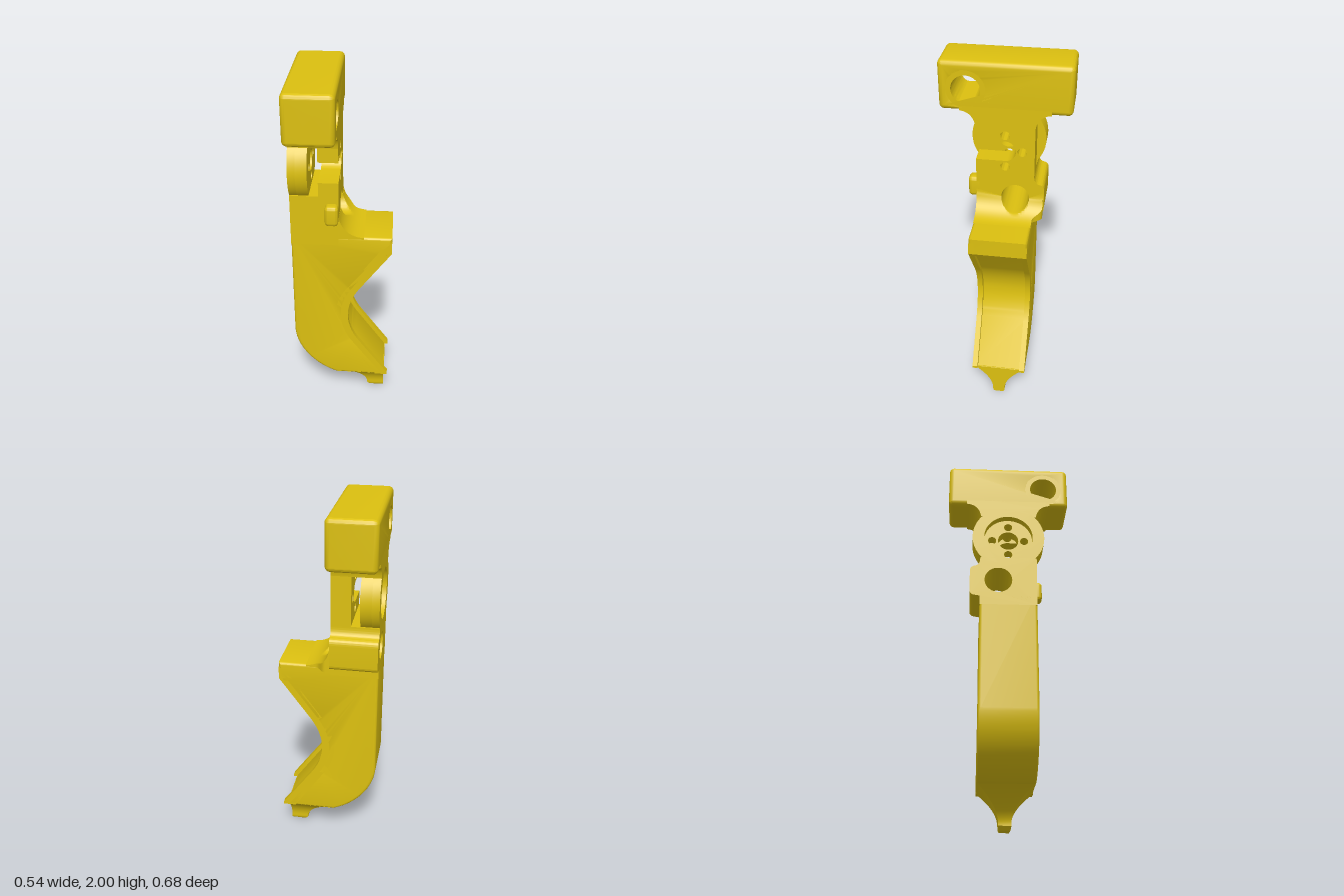
import * as THREE from 'three';
import { toCreasedNormals } from 'three/addons/utils/BufferGeometryUtils.js';
import { RoundedBoxGeometry } from 'three/addons/geometries/RoundedBoxGeometry.js';

const BACK = -0.27, FRONT = -0.015, HALF = 0.155;

export function createModel() {
  const group = new THREE.Group();
  const yellow = new THREE.MeshStandardMaterial({ color: 0xdcc010 });

  const add = (name, geo) => {
    const mesh = new THREE.Mesh(toCreasedNormals(geo, 0.6), yellow);
    mesh.name = name;
    group.add(mesh);
    return mesh;
  };
  const hole = (shape, u, y, r) => {
    shape.holes.push(new THREE.Path().absarc(u, y, r, 0, Math.PI * 2, true));
    return shape;
  };
  const poly = (pts) => new THREE.Shape(pts.map(([u, y]) => new THREE.Vector2(u, y)));
  // Extrude a shape drawn in (-z, y) along x, with an optional rounded edge
  const alongX = (name, shape, x0, x1, bevel = 0) => {
    const geo = new THREE.ExtrudeGeometry(shape, {
      depth: x1 - x0 - 2 * bevel, curveSegments: 28, bevelEnabled: bevel > 0,
      bevelSize: bevel, bevelThickness: bevel, bevelOffset: -bevel, bevelSegments: 4,
    });
    return add(name, geo.rotateY(Math.PI / 2).translate(x0 + bevel, 0, 0));
  };

  // Rounded head block, with a sharp sleeve lining its hole
  const r = 0.025, w = 0.34, lo = 1.74, hi = 2;
  const head = new THREE.Shape();
  head.absarc(w - r, hi - r, r, 0, Math.PI / 2);
  head.absarc(-w + r, hi - r, r, Math.PI / 2, Math.PI);
  head.absarc(-w + r, lo + r, r, Math.PI, Math.PI * 1.5);
  head.absarc(w - r, lo + r, r, Math.PI * 1.5, Math.PI * 2);
  alongX('headBlock', hole(head, -0.2, 1.855, 0.075), BACK, FRONT, 0.026);
  const sleeve = new THREE.Shape().absarc(-0.2, 1.855, 0.104, 0, Math.PI * 2);
  alongX('headHoleSleeve', hole(sleeve, -0.2, 1.855, 0.075), BACK, FRONT);

  // Upper neck flaring into the head
  const upper = new THREE.Shape();
  upper.moveTo(-HALF, 1.66);
  upper.lineTo(HALF, 1.66);
  upper.quadraticCurveTo(HALF + 0.01, 1.735, 0.235, 1.742);
  upper.lineTo(0.235, 1.79);
  upper.lineTo(-0.235, 1.79);
  upper.lineTo(-0.235, 1.742);
  upper.quadraticCurveTo(-HALF - 0.01, 1.735, -HALF, 1.66);
  alongX('upperNeck', upper, BACK, FRONT);

  // Front plate with a side channel running into the centre bore
  const cy = 1.525, cr = 0.057;
  const plate = new THREE.Shape();
  plate.moveTo(-HALF, 1.39);
  plate.lineTo(HALF, 1.39);
  plate.lineTo(HALF, 1.66);
  plate.lineTo(-HALF, 1.66);
  plate.lineTo(-HALF, cy + cr);
  plate.lineTo(0, cy + cr);
  plate.absarc(0, cy, cr, Math.PI / 2, -Math.PI / 2, true);
  plate.lineTo(-HALF, cy - cr);
  hole(plate, 0, cy + 0.09, 0.025);
  hole(plate, 0, cy - 0.09, 0.025);
  hole(plate, 0.09, cy, 0.025);
  alongX('frontPlate', plate, -0.12, FRONT);

  // Drilled disc behind the slot, with a round recess in its back
  const disc = new THREE.Shape().absarc(0, cy, 0.2, 0, Math.PI * 2);
  hole(disc, 0, cy, cr);
  for (const [u, v] of [[0.09, 0], [-0.09, 0], [0, 0.09], [0, -0.09]]) hole(disc, u, cy + v, 0.023);
  alongX('discFloor', disc, -0.23, -0.17);
  const rim = new THREE.Shape().absarc(0, cy, 0.2, 0, Math.PI * 2);
  alongX('discRim', hole(rim, 0, cy, 0.135), BACK, -0.23);

  // Lower neck with its side lug and hole
  const lower = new THREE.Shape();
  lower.moveTo(-HALF, 1.1);
  lower.lineTo(HALF, 1.1);
  lower.lineTo(HALF, 1.15);
  lower.lineTo(0.185, 1.155);
  lower.quadraticCurveTo(0.21, 1.16, 0.21, 1.185);
  lower.lineTo(0.21, 1.3);
  lower.quadraticCurveTo(0.21, 1.33, 0.185, 1.335);
  lower.quadraticCurveTo(HALF, 1.34, HALF, 1.385);
  lower.lineTo(HALF, 1.39);
  lower.lineTo(-HALF, 1.39);
  alongX('lowerNeck', hole(lower, 0.055, 1.25, 0.075), BACK, FRONT);

  // Small hook on the opposite side
  const hook = add('sideHook', new RoundedBoxGeometry(0.07, 0.115, 0.08, 4, 0.02));
  hook.position.set(-0.05, 1.2925, 0.16);

  // Concave shoulder between neck and grip, cut by the lower hole
  const R = 0.135, NX = 16, zs = [];
  for (let i = 0; i <= 24; i++) zs.push(-0.055 - 0.075 * Math.cos((i / 24) * Math.PI));
  const rows = [null, null, ...zs, HALF, HALF];
  const shoulder = new THREE.PlaneGeometry(1, 1, NX, rows.length - 1).rotateX(-Math.PI / 2);
  const sp = shoulder.attributes.position;
  for (let j = 0; j < rows.length; j++) for (let i = 0; i <= NX; i++) {
    const a = (i / NX) * Math.PI / 2;
    const x = FRONT + R * (1 - Math.cos(a));
    let y = 1.15 + R * (1 - Math.sin(a));
    const z = rows[j] ?? -HALF - 0.05 * (1 - THREE.MathUtils.smoothstep(x, 0.01, 0.065));
    const d = z + 0.055;
    if (Math.abs(d) <= 0.0751) y = Math.min(y, 1.25 - Math.sqrt(Math.max(0, 0.075 ** 2 - d * d)));
    if (j === 0 || j === rows.length - 1) y = 1.14;
    sp.setXYZ(j * (NX + 1) + i, x, y, z);
  }
  add('shoulder', shoulder);

  // Grip core, whose finger face sits a little below the rims
  const core = new THREE.Shape();
  core.moveTo(BACK, 1.15);
  core.lineTo(BACK, 0.52);
  core.bezierCurveTo(BACK, 0.38, -0.16, 0.245, -0.03, 0.2);
  core.lineTo(0.252, 0.2);
  core.lineTo(0.075, 0.45);
  core.bezierCurveTo(-0.011, 0.57, -0.011, 0.7, 0.075, 0.82);
  core.lineTo(0.228, 1.03);
  core.lineTo(0.252, 1.03);
  core.lineTo(0.27, 1.055);
  core.lineTo(0.27, 1.15);
  const b = 0.015;
  add('gripCore', new THREE.ExtrudeGeometry(core, {
    depth: 2 * (HALF - b), curveSegments: 28, bevelSize: b, bevelThickness: b,
    bevelOffset: -b, bevelSegments: 4,
  }).translate(0, 0, -HALF + b));

  // Raised rims on both sides of the finger face
  const edge = new THREE.Shape();
  edge.moveTo(0.2, 0.2);
  edge.lineTo(0.27, 0.2);
  edge.lineTo(0.27, 0.215);
  edge.lineTo(0.1, 0.45);
  edge.bezierCurveTo(0.014, 0.57, 0.014, 0.7, 0.1, 0.82);
  edge.lineTo(0.27, 1.055);
  edge.lineTo(0.27, 1.125);
  edge.lineTo(0.2, 1.06);
  edge.lineTo(0.03, 0.82);
  edge.bezierCurveTo(-0.056, 0.7, -0.056, 0.57, 0.03, 0.45);
  for (const z of [-HALF, HALF - 0.03]) {
    add('gripRim', new THREE.ExtrudeGeometry(edge, { depth: 0.03, curveSegments: 28, bevelEnabled: false })
      .translate(0, 0, z));
  }

  // Flared tail under the grip
  const tail = new THREE.BoxGeometry(1, 1, 1, 1, 20, 1);
  const tp = tail.attributes.position;
  for (let i = 0; i < tp.count; i++) {
    const y = 0.205 * (tp.getY(i) + 0.5);
    const s = Math.max(0, (y - 0.03) / 0.175);
    const x0 = 0.15 - 0.18 * s ** 1.7 + 0.02 * Math.max(0, 1 - y / 0.02);
    const half = 0.035 + 0.118 * s ** 2 - 0.008 * Math.max(0, 1 - y / 0.012);
    tp.setXYZ(i, tp.getX(i) < 0 ? x0 : 0.25, y, Math.sign(tp.getZ(i)) * half);
  }
  add('tail', tail);

  return group;
}
